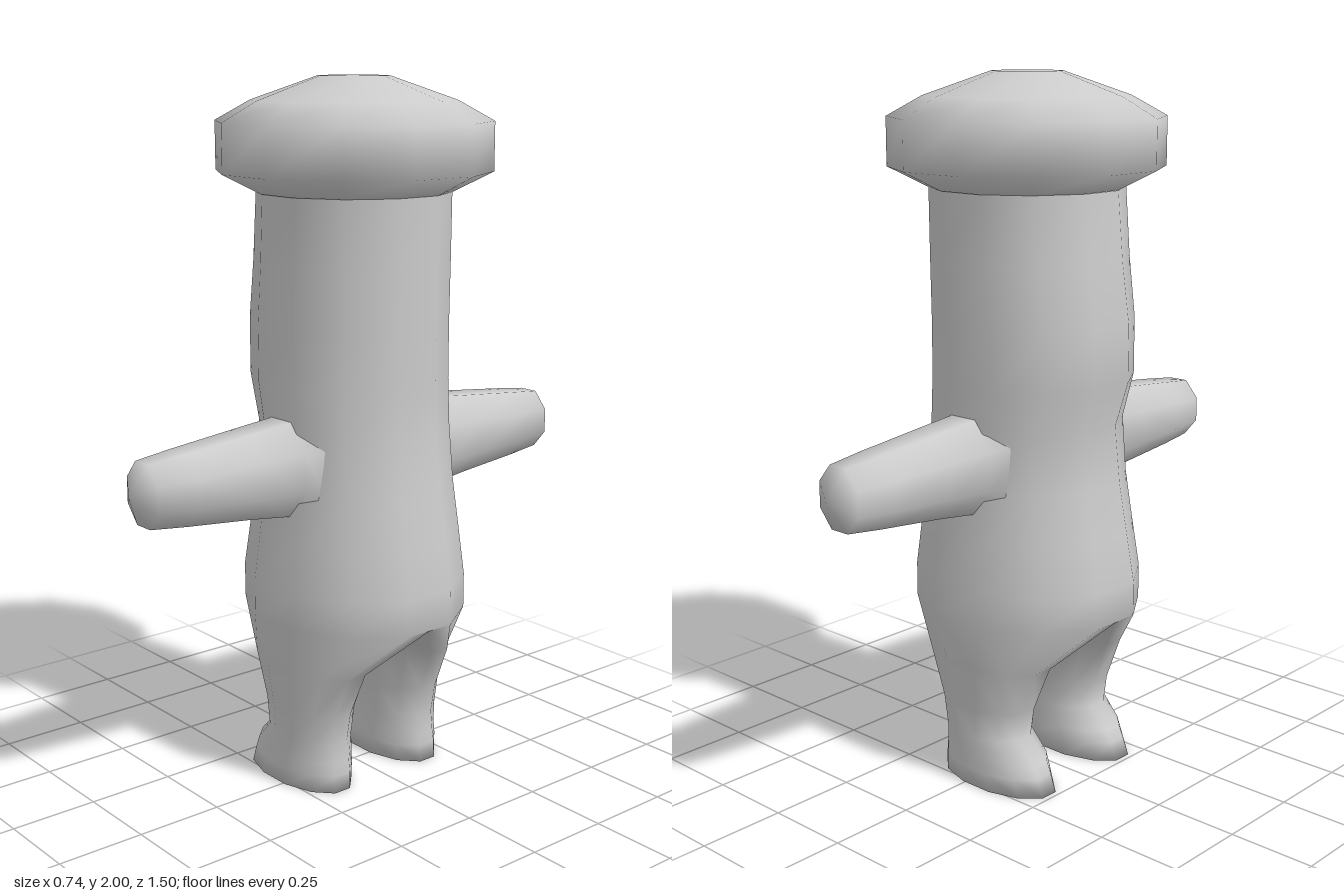
import * as THREE from 'three';
import { mergeGeometries, mergeVertices } from 'three/addons/utils/BufferGeometryUtils.js';

const material = new THREE.MeshStandardMaterial({ color: 0xcccccc });

// Skin a stack of equal-length loops; optional end points close it with fans.
function loft(rings, start, end) {
  const n = rings[0].length, pos = rings.flat(2), index = [];
  for (let r = 0; r < rings.length - 1; r++) {
    for (let i = 0; i < n; i++) {
      const j = (i + 1) % n, a = r * n + i, b = r * n + j;
      index.push(a, a + n, b, b, a + n, b + n);
    }
  }
  const fan = (point, base, flip) => {
    const c = pos.length / 3;
    pos.push(...point);
    for (let i = 0; i < n; i++) {
      const a = base + i, b = base + (i + 1) % n;
      index.push(c, flip ? b : a, flip ? a : b);
    }
  };
  if (start) fan(start, 0, false);
  if (end) fan(end, (rings.length - 1) * n, true);
  const g = new THREE.BufferGeometry();
  g.setAttribute('position', new THREE.Float32BufferAttribute(pos, 3));
  g.setIndex(index);
  return g;
}

// Mirror a geometry to the other side in z, keeping its faces outward.
function mirrorZ(g) {
  const m = g.clone().scale(1, 1, -1);
  const idx = m.index.array;
  for (let i = 0; i < idx.length; i += 3) [idx[i], idx[i + 1]] = [idx[i + 1], idx[i]];
  return m;
}

// Horizontal twelve-sided loop fitted to its x and z extents.
function ring(y, x0, x1, z0, z1) {
  const k = Math.cos(Math.PI / 12), out = [];
  for (let i = 0; i < 12; i++) {
    const a = (i + 0.5) * Math.PI / 6;
    out.push([
      (x0 + x1) / 2 + (x1 - x0) / 2 * Math.cos(a) / k, y,
      (z0 + z1) / 2 + (z1 - z0) / 2 * Math.sin(a) / k,
    ]);
  }
  return out;
}

// Weld the pieces and shade them smoothly.
function smoothMesh(name, geometries) {
  const bare = geometries.map((g) => {
    g.deleteAttribute('normal');
    return g;
  });
  const g = mergeVertices(mergeGeometries(bare), 1e-4);
  g.computeVertexNormals();
  const mesh = new THREE.Mesh(g, material);
  mesh.name = name;
  return mesh;
}

export function createModel() {
  const group = new THREE.Group();

  // Trunk: y, toe-side x, heel-side x, half depth in z
  const trunkRings = [
    [0.5, -0.335, 0.33, 0.29],
    [0.6, -0.335, 0.33, 0.29],
    [0.74, -0.31, 0.31, 0.275],
    [0.88, -0.285, 0.287, 0.262],
    [1.04, -0.267, 0.265, 0.26],
    [1.17, -0.31, 0.264, 0.26],
    [1.33, -0.31, 0.264, 0.26],
    [1.5, -0.285, 0.264, 0.26],
    [1.69, -0.267, 0.264, 0.26],
  ].map(([y, x0, x1, z]) => ring(y, x0, x1, -z, z));

  // Leg: its top loop is half of the hip loop closed by an arched crotch line
  const crotch = [[-0.335, 0.5], [-0.2, 0.46], [-0.07, 0.445], [0.07, 0.445], [0.2, 0.46], [0.33, 0.5]];
  const hip = [...trunkRings[0].slice(0, 6), ...crotch.map(([x, y]) => [x, y, 0])];
  const legRings = [
    [0, -0.235, 0.147, 0.062, 0.266],
    [0.05, -0.215, 0.145, 0.06, 0.266],
    [0.085, -0.2, 0.14, 0.06, 0.264],
    [0.145, -0.138, 0.133, 0.064, 0.262],
    [0.23, -0.15, 0.148, 0.06, 0.265],
    [0.36, -0.2, 0.2, 0.036, 0.277],
  ].map((r) => ring(...r));
  const leg = loft([...legRings, hip], [-0.04, 0, 0.164]);
  group.add(smoothMesh('bodyAndLegs', [loft(trunkRings), leg, mirrorZ(leg)]));

  // Wide rounded top of the head
  const capRings = [[1.69, 0.265], [1.745, 0.371], [1.88, 0.371], [1.935, 0.275], [2, 0.095]]
    .map(([y, r]) => ring(y, -r, r, -r, r));
  group.add(smoothMesh('headCap', [loft(capRings, null, [0, 2, 0])]));

  // Arms: z, half width, bottom y, top y
  const armRings = [
    [0.2, 0.16, 0.74, 1.13],
    [0.262, 0.108, 0.815, 1.08],
    [0.4, 0.104, 0.832, 1.066],
    [0.6, 0.091, 0.85, 1.046],
    [0.71, 0.074, 0.861, 1.034],
  ].map(([z, w, y0, y1]) => Array.from({ length: 8 }, (_, i) => {
    const a = (i + 0.5) * Math.PI / 4, k = Math.cos(Math.PI / 8);
    return [w * Math.cos(a) / k, (y0 + y1) / 2 - (y1 - y0) / 2 * Math.sin(a) / k, z];
  }));
  const arm = loft(armRings, null, [0, 0.947, 0.752]);
  group.add(smoothMesh('backArm', [mirrorZ(arm)]), smoothMesh('frontArm', [arm]));

  return group;
}
